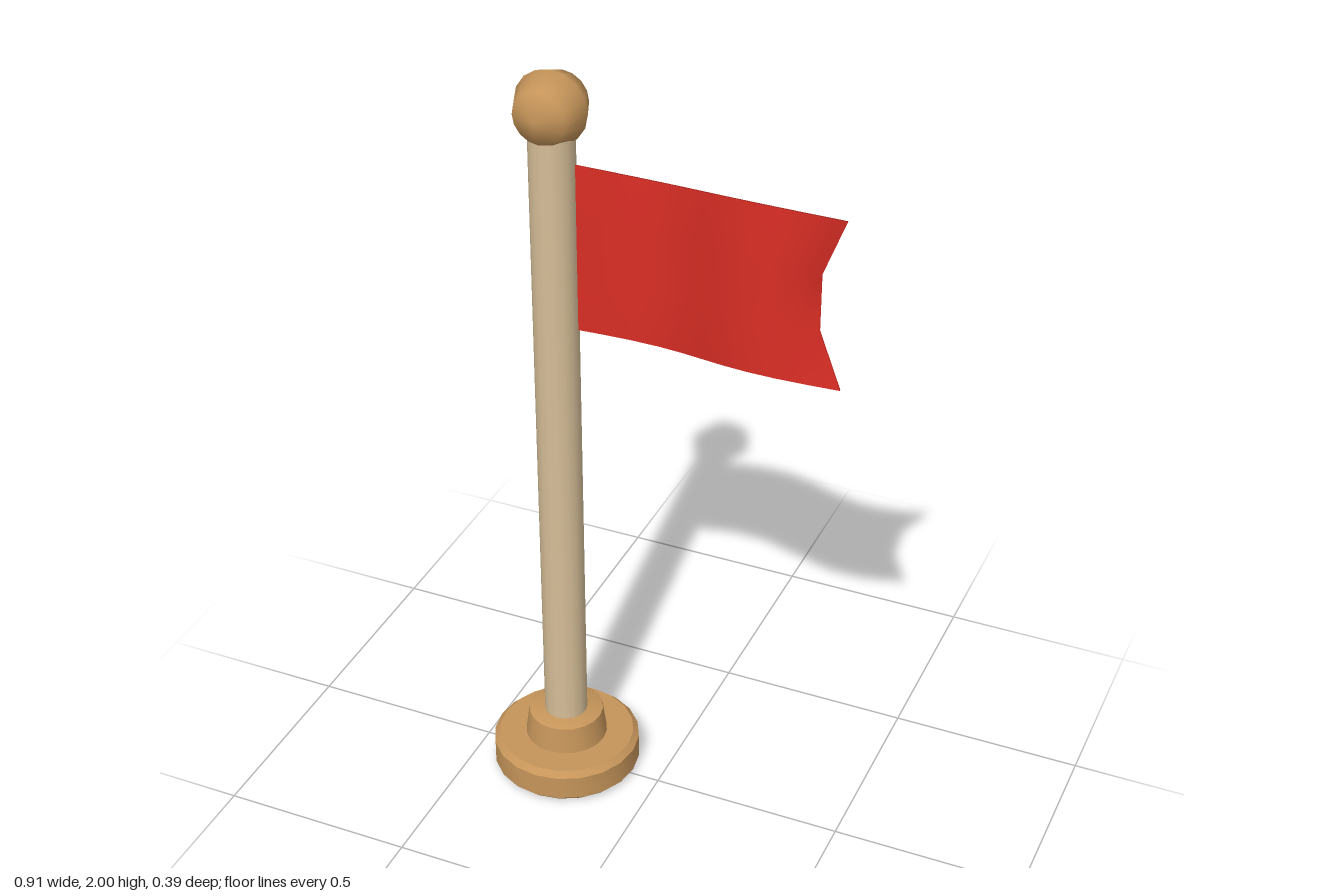
import * as THREE from 'three';
import { mergeVertices, toCreasedNormals } from 'three/addons/utils/BufferGeometryUtils.js';

const POLE_X = -0.265;

export function createModel() {
  const model = new THREE.Group();
  model.name = 'flagOnPole';

  const material = (name, color) => {
    const m = new THREE.MeshStandardMaterial({ color });
    m.name = name;
    return m;
  };
  const wood = material('warmWood', 0xc6955a);
  const paleWood = material('paleWood', 0xd6be98);
  const red = material('redCloth', 0xdb2e25);

  const add = (name, geometry, mat, x = 0, y = 0) => {
    const mesh = new THREE.Mesh(geometry, mat);
    mesh.name = name;
    mesh.position.set(x, y, 0);
    model.add(mesh);
    return mesh;
  };
  const turned = (profile, sides) => toCreasedNormals(
    new THREE.LatheGeometry(profile.map(([r, y]) => new THREE.Vector2(r, y)), sides), 0.6);

  // Bevelled foot and the tapered collar that holds the pole
  add('base', turned([[0, 0], [0.178, 0], [0.193, 0.015], [0.193, 0.08], [0.178, 0.095], [0, 0.095]], 20), wood, POLE_X);
  add('collar', turned([[0.108, 0.09], [0.106, 0.105], [0.098, 0.168], [0.093, 0.171], [0, 0.171]], 20), wood, POLE_X);

  // Pole
  add('pole', new THREE.CylinderGeometry(0.056, 0.056, 1.71, 16), paleWood, POLE_X, 1.005);

  // Finial ball, its axis running front to back
  const ball = new THREE.SphereGeometry(0.093, 16, 4);
  ball.rotateX(Math.PI / 2);
  add('finial', ball, wood, POLE_X, 1.907);

  // Waving flag with a notched free end, smooth all round
  const length = 0.685, height = 0.436, startX = -0.23, midY = 1.556;
  let cloth = new THREE.BoxGeometry(length, height, 0.005, 10, 3, 1);
  const p = cloth.attributes.position;
  for (let i = 0; i < p.count; i++) {
    const u = p.getX(i) / length + 0.5;
    const inner = Math.abs(p.getY(i)) < height * 0.4;
    const wave = -Math.sin(u * Math.PI * 2);
    const notch = inner ? 0.055 * u ** 6 : 0;
    p.setXYZ(i,
      startX + u * length - notch,
      midY + p.getY(i) + 0.035 * wave - 0.006 * u,
      p.getZ(i) + 0.064 * wave);
  }
  cloth.deleteAttribute('uv');
  cloth.deleteAttribute('normal');
  cloth = mergeVertices(cloth);
  cloth.computeVertexNormals();
  add('flag', cloth, red);

  return model;
}
